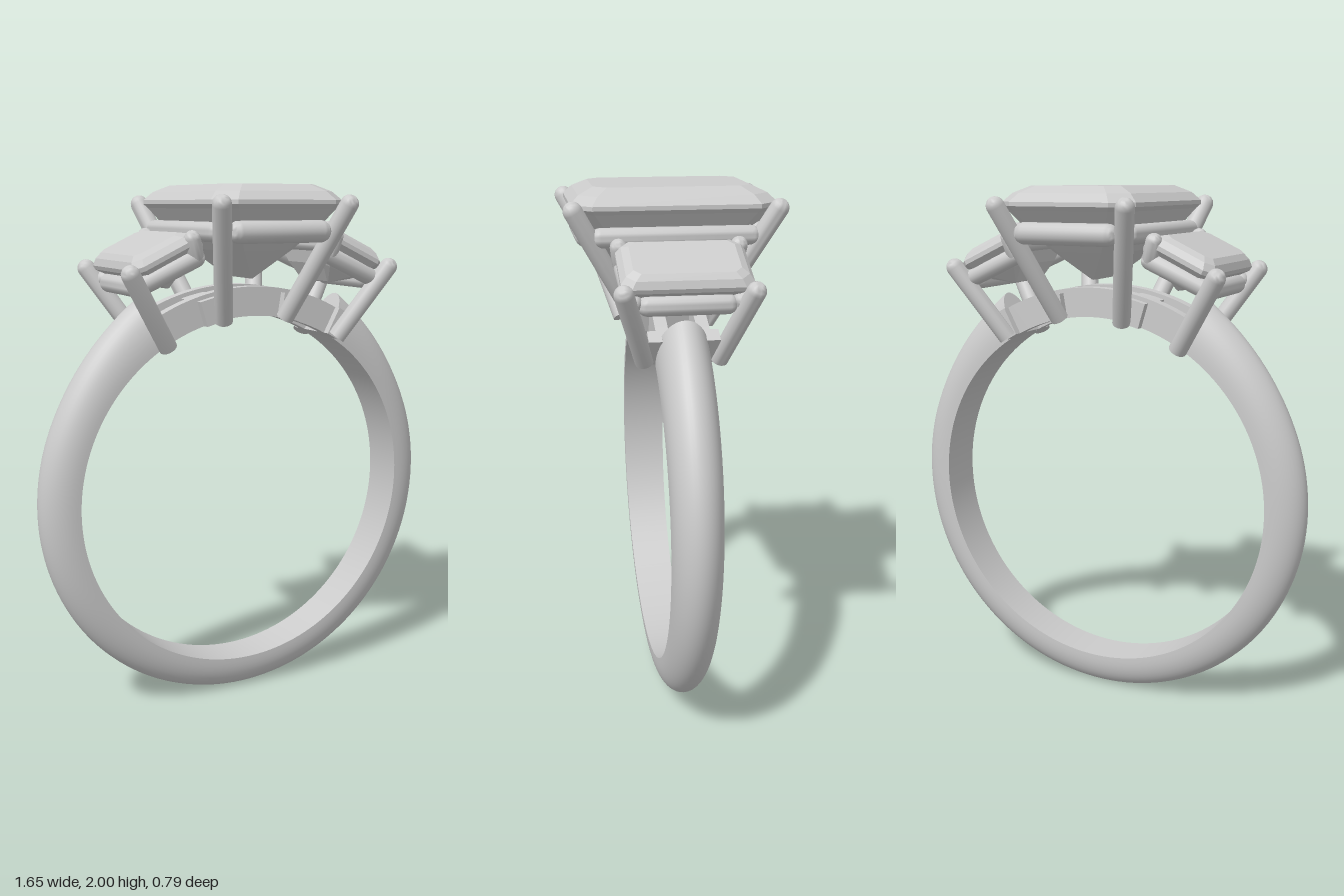
import * as THREE from 'three';
import { toCreasedNormals } from 'three/addons/utils/BufferGeometryUtils.js';

const metal = new THREE.MeshStandardMaterial({ color: 0xcccccc });
const facet = new THREE.MeshStandardMaterial({ color: 0xcccccc, flatShading: true });
const CY = 0.83, INNER = 0.69;
const rad = THREE.MathUtils.degToRad;
const V = (x, y, z) => new THREE.Vector3(x, y, z);

// Closed skin through loops of points, counter-clockwise about the direction of travel
function loft(loops) {
  const pos = [], n = loops[0].length;
  const tri = (...pts) => pts.forEach(p => pos.push(p.x, p.y, p.z));
  for (let k = 0; k < loops.length - 1; k++) {
    const a = loops[k], b = loops[k + 1];
    for (let i = 0; i < n; i++) {
      const j = (i + 1) % n;
      tri(a[i], a[j], b[j]);
      tri(a[i], b[j], b[i]);
    }
  }
  const first = loops[0], last = loops[loops.length - 1];
  for (let i = 1; i < n - 1; i++) {
    tri(first[0], first[i + 1], first[i]);
    tri(last[0], last[i], last[i + 1]);
  }
  const g = new THREE.BufferGeometry();
  g.setAttribute('position', new THREE.Float32BufferAttribute(pos, 3));
  g.computeVertexNormals();
  return g;
}

// Sweep a [radius, z] section round the finger, angles in degrees from the top
function sweep(section, a0, a1, steps) {
  const loops = [];
  for (let k = 0; k <= steps; k++) {
    const deg = a0 + (a1 - a0) * k / steps, t = rad(deg);
    loops.push(section(deg).map(([r, z]) => V(r * Math.sin(t), CY + r * Math.cos(t), z)));
  }
  return toCreasedNormals(loft(loops), 0.6);
}

const boxSection = (r0, r1, z0, z1) => () => [[r0, z0], [r1, z0], [r1, z1], [r0, z1]];

// D-shaped band, wider and thicker towards the setting
function bandSection(deg) {
  const up = (1 + Math.cos(rad(deg))) / 2;
  const w = 0.08 + 0.016 * up;
  const near = THREE.MathUtils.clamp((70 - Math.min(deg, 360 - deg)) / 40, 0, 1);
  const outer = 0.825 + 0.045 * near * near;
  const pts = [[INNER, -w]];
  for (let i = 0; i <= 20; i++) {
    const a = -Math.PI / 2 + Math.PI * i / 20;
    pts.push([0.705 + (outer - 0.705) * Math.cos(a), w * Math.sin(a)]);
  }
  pts.push([INNER, w]);
  return pts;
}

// Step-cut stone from rows of [half width, half length, corner cut, height], bottom to top
function stone(rows) {
  return loft(rows.map(([a, b, c, y]) => [
    [a - c, b], [a, b - c], [a, c - b], [a - c, -b],
    [c - a, -b], [-a, c - b], [-a, b - c], [c - a, b],
  ].map(([x, z]) => V(x, y, z))));
}

// Round wire from p to q: flat or domed foot, domed tip
function rod(p, q, r, flatFoot) {
  const len = p.distanceTo(q), prof = [new THREE.Vector2(0, flatFoot ? 0 : -r)];
  if (flatFoot) prof.push(new THREE.Vector2(r, 0));
  else for (let i = 1; i <= 6; i++) {
    const a = Math.PI / 2 * i / 6;
    prof.push(new THREE.Vector2(r * Math.sin(a), -r * Math.cos(a)));
  }
  for (let i = 0; i <= 6; i++) {
    const a = Math.PI / 2 * i / 6;
    prof.push(new THREE.Vector2(Math.max(0, r * Math.cos(a)), len + r * Math.sin(a)));
  }
  const g = toCreasedNormals(new THREE.LatheGeometry(prof, 18), 0.9);
  const dir = q.clone().sub(p).normalize();
  g.applyQuaternion(new THREE.Quaternion().setFromUnitVectors(V(0, 1, 0), dir));
  return g.translate(p.x, p.y, p.z);
}

export function createModel() {
  const root = new THREE.Group();
  const add = (name, geo, mat = metal, parent = root) => {
    const m = new THREE.Mesh(geo, mat);
    m.name = name;
    parent.add(m);
    return m;
  };

  add('band', sweep(bandSection, 30, 330, 120));

  // Open gallery under the stones: two rails joined by bridges
  for (const s of [-1, 1]) {
    const z = [0.05 * s, 0.095 * s].sort((a, b) => a - b);
    add('galleryRail', sweep(boxSection(INNER, 0.80, z[0], z[1]), -31, 31, 28));
    add('galleryBridge', sweep(boxSection(INNER, 0.785, -0.125, 0.125), 13 * s - 3.5, 13 * s + 3.5, 4));
    add('galleryEnd', sweep(boxSection(INNER, 0.80, -0.125, 0.125), 30 * s - 2, 30 * s + 2, 3));
  }

  // Centre stone
  add('centreStone', stone([
    [0.006, 0.10, 0.004, 1.66], [0.13, 0.21, 0.04, 1.765], [0.205, 0.295, 0.055, 1.85],
    [0.25, 0.35, 0.065, 1.915], [0.265, 0.365, 0.07, 1.93], [0.265, 0.365, 0.07, 1.945],
    [0.235, 0.335, 0.062, 1.975], [0.18, 0.28, 0.045, 2.0],
  ]), facet);

  // Centre basket
  for (const s of [-1, 1]) {
    for (const t of [-1, 1])
      add('centreProng', rod(V(0.13 * s, 1.51, 0.125 * t), V(0.255 * s, 1.93, 0.36 * t), 0.034, true));
    add('centreEndRail', rod(V(-0.165, 1.835, 0.31 * s), V(0.165, 1.835, 0.31 * s), 0.04));
    add('centreSideRail', rod(V(0.228 * s, 1.835, -0.265), V(0.228 * s, 1.835, 0.265), 0.035));
  }

  // Side stones, tilted outward, each in its own basket
  for (const s of [-1, 1]) {
    const side = new THREE.Group();
    side.name = s > 0 ? 'leftSideSetting' : 'rightSideSetting';
    root.add(side);
    const gem = add('sideStone', stone([
      [0.005, 0.10, 0.003, -0.175], [0.07, 0.15, 0.02, -0.13], [0.11, 0.195, 0.028, -0.08],
      [0.132, 0.225, 0.034, -0.052], [0.132, 0.225, 0.034, -0.036],
      [0.115, 0.207, 0.03, -0.014], [0.092, 0.182, 0.024, 0],
    ]), facet, side);
    gem.position.set(0.412 * s, 1.795, 0);
    gem.rotation.z = -rad(25) * s;

    for (const t of [-1, 1]) {
      add('sideProng', rod(V(0.358 * s, 1.425, 0.132 * t), V(0.532 * s, 1.695, 0.22 * t), 0.034, true), metal, side);
      add('sideFrontRail', rod(V(0.275 * s, 1.745, 0.195 * t), V(0.475 * s, 1.655, 0.185 * t), 0.033), metal, side);
      add('sideInnerTip', rod(V(0.278 * s, 1.75, 0.2 * t), V(0.295 * s, 1.812, 0.21 * t), 0.03), metal, side);
    }
    add('sideOuterRail', rod(V(0.475 * s, 1.645, -0.135), V(0.475 * s, 1.645, 0.135), 0.035), metal, side);
    add('sideInnerRail', rod(V(0.282 * s, 1.785, -0.2), V(0.282 * s, 1.785, 0.2), 0.03), metal, side);
  }
  return root;
}
